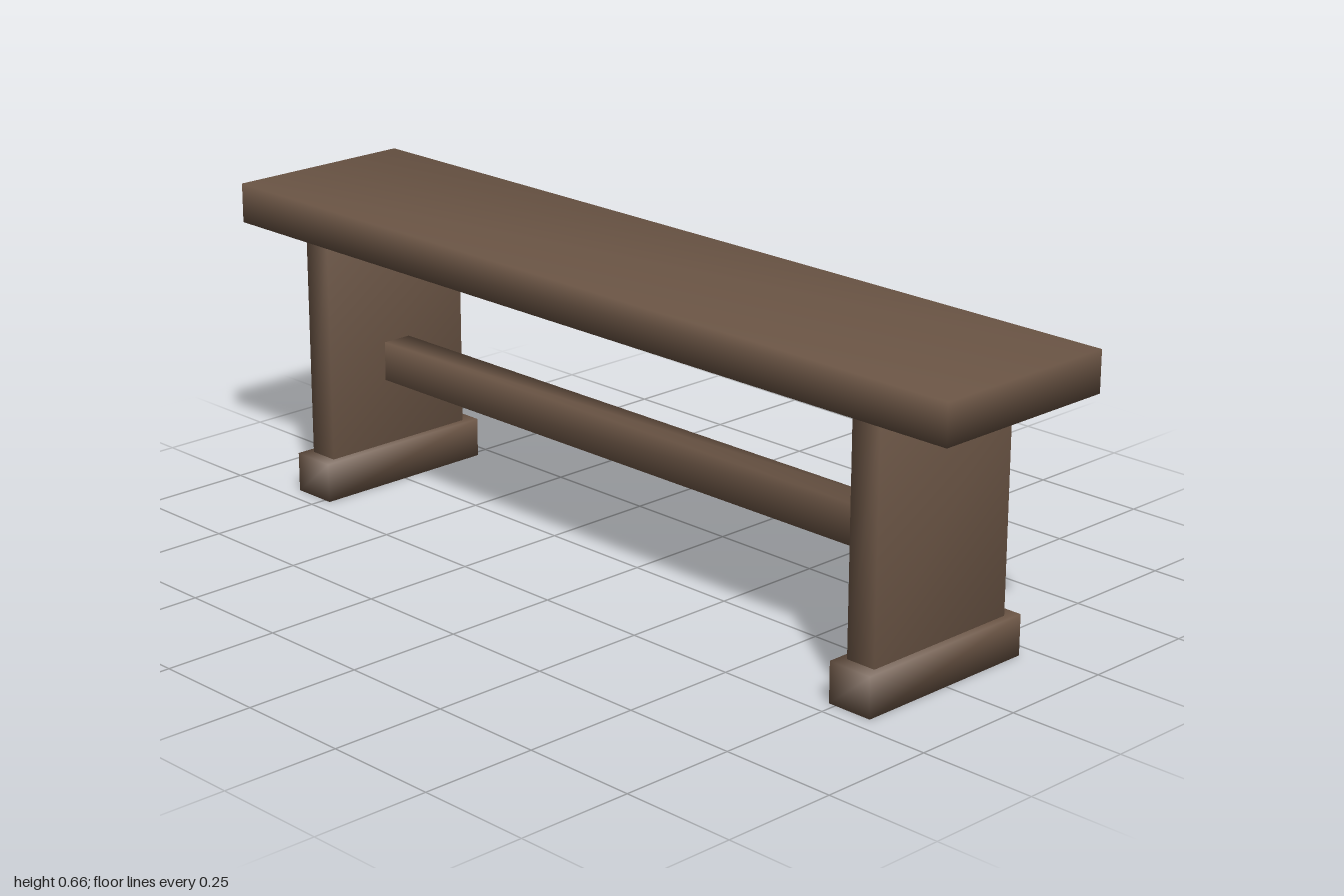
import * as THREE from 'three';
import { mergeVertices } from 'three/addons/utils/BufferGeometryUtils.js';

// Box with shared corners, so its shading is soft across the edges
function softBox(w, h, d) {
  const box = new THREE.BoxGeometry(w, h, d);
  box.deleteAttribute('normal');
  box.deleteAttribute('uv');
  const geometry = mergeVertices(box);
  geometry.computeVertexNormals();
  return geometry;
}

export function createModel() {
  const bench = new THREE.Group();
  bench.name = 'bench';
  const wood = new THREE.MeshStandardMaterial({ color: 0x6b5545 });
  wood.name = 'dark wood';

  // Adds a board spanning y0 to y1, centred on z = 0
  const addBoard = (name, width, y0, y1, depth, x = 0) => {
    const mesh = new THREE.Mesh(softBox(width, y1 - y0, depth), wood);
    mesh.name = name;
    mesh.position.set(x, (y0 + y1) / 2, 0);
    bench.add(mesh);
  };

  // Seat plank and the rail joining the legs
  addBoard('seat', 2, 0.573, 0.659, 0.427);
  addBoard('stretcher', 1.504, 0.232, 0.318, 0.068);

  // Slab leg and foot at each end
  for (const [side, sign] of [['left', 1], ['right', -1]]) {
    addBoard(`${side}Leg`, 0.068, 0.086, 0.573, 0.37, sign * 0.785);
    addBoard(`${side}Foot`, 0.102, 0, 0.086, 0.427, sign * 0.785);
  }
  return bench;
}
